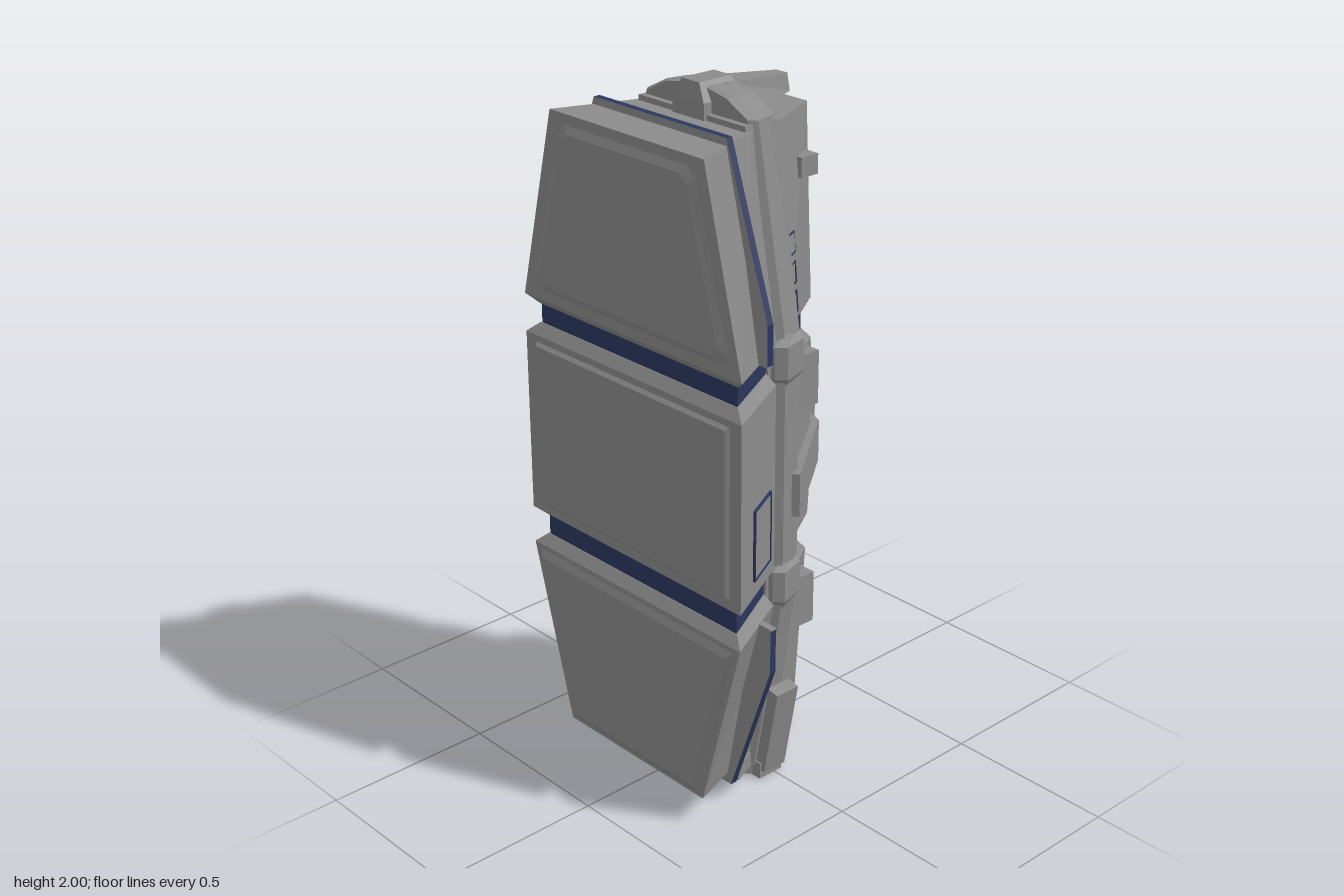
import * as THREE from 'three';

const mat = (name, color) => {
  const m = new THREE.MeshStandardMaterial({ color });
  m.name = name;
  return m;
};

export function createModel() {
  const grey = mat('hullGrey', 0x8b8b8b);
  const blue = mat('bandBlue', 0x2c365e);
  const black = mat('capBlack', 0x0e0e0e);
  const root = new THREE.Group();

  const add = (name, geo, m = grey, parent = root) => {
    const mesh = new THREE.Mesh(geo, m);
    mesh.name = name;
    parent.add(mesh);
    return mesh;
  };

  // Flat-faced solid through rings, each counter-clockwise seen from the end ring.
  // Geometry group 0 is the sides, group 1 the two caps.
  const loft = (rings) => {
    const out = [];
    const n = rings[0].length;
    for (let r = 0; r + 1 < rings.length; r++) {
      for (let i = 0; i < n; i++) {
        const j = (i + 1) % n;
        const [a, b, c, d] = [rings[r][i], rings[r][j], rings[r + 1][j], rings[r + 1][i]];
        out.push(...a, ...b, ...c, ...a, ...c, ...d);
      }
    }
    const sideCount = out.length / 3;
    const lo = rings[0], hi = rings[rings.length - 1];
    for (let i = 1; i < n - 1; i++) {
      out.push(...lo[0], ...lo[i + 1], ...lo[i], ...hi[0], ...hi[i], ...hi[i + 1]);
    }
    const g = new THREE.BufferGeometry();
    g.setAttribute('position', new THREE.Float32BufferAttribute(out, 3));
    g.addGroup(0, sideCount, 0);
    g.addGroup(sideCount, out.length / 3 - sideCount, 1);
    g.computeVertexNormals();
    return g;
  };
  // Symmetric plan at height y from [half width, z] points, front to back
  const plan = (y, pts) => [
    ...pts.map(([h, z]) => [h, y, z]),
    ...pts.slice().reverse().map(([h, z]) => [-h, y, z]),
  ];
  // Trapezoid plan: front depth and half width, back depth and half width
  const trap = (y, zf, hf, zb, hb) => plan(y, [[hf, zf], [hb, zb]]);
  // Symmetric outline in the xy plane from its right-hand points, bottom to top
  const outline = (pts, z, s = 0) => [
    ...pts.map(([x, y]) => [x - s, y, z]),
    ...pts.slice().reverse().map(([x, y]) => [-x + s, y, z]),
  ];
  const beam = (name, a, b, w, h) => {
    const from = new THREE.Vector3(...a), to = new THREE.Vector3(...b);
    const mesh = add(name, new THREE.BoxGeometry(w, h, from.distanceTo(to)));
    mesh.position.copy(from).lerp(to, 0.5);
    mesh.lookAt(to);
  };
  const box = (name, w, h, d, x, y, z) => {
    const mesh = add(name, new THREE.BoxGeometry(w, h, d));
    mesh.position.set(x, y, z);
    return mesh;
  };

  // Front hull sections, with chamfered ends facing the recessed bands
  add('upperFrontHull', loft([
    trap(1.34, 0.3, 0.39, 0.1, 0.285), trap(1.365, 0.322, 0.427, 0.085, 0.305),
    trap(1.905, 0.322, 0.292, 0.085, 0.205)]));
  add('middleFrontHull', loft([
    trap(0.7, 0.3, 0.39, 0.1, 0.285), trap(0.72, 0.322, 0.427, 0.085, 0.305),
    trap(1.255, 0.322, 0.427, 0.085, 0.305), trap(1.285, 0.3, 0.39, 0.1, 0.285)]));
  add('lowerFrontHull', loft([
    trap(0.085, 0.322, 0.28, 0.085, 0.2), trap(0.61, 0.322, 0.425, 0.085, 0.305),
    trap(0.64, 0.3, 0.39, 0.1, 0.285)]));

  // Rear hull sections
  add('upperRearHull', loft([
    trap(1.34, 0, 0.245, -0.185, 0.125), trap(1.37, 0, 0.258, -0.215, 0.128),
    trap(1.905, 0, 0.198, -0.215, 0.1)]));
  add('middleRearHull', loft([
    trap(0.7, 0, 0.245, -0.185, 0.125), trap(0.72, 0, 0.26, -0.215, 0.13),
    trap(0.78, 0, 0.26, -0.23, 0.12), trap(1.2, 0, 0.26, -0.23, 0.12),
    trap(1.255, 0, 0.26, -0.215, 0.13), trap(1.285, 0, 0.245, -0.185, 0.125)]));
  add('lowerRearHull', loft([
    trap(0.085, 0, 0.195, -0.208, 0.095), trap(0.61, 0, 0.258, -0.212, 0.128),
    trap(0.64, 0, 0.245, -0.185, 0.125)]));

  // Recessed bands between sections
  for (const y of [0.63, 1.275]) {
    add('frontBand', loft([trap(y, 0.298, 0.386, 0.1, 0.282), trap(y + 0.075, 0.298, 0.386, 0.1, 0.282)]), blue);
    add('rearBand', loft([trap(y, 0, 0.243, -0.183, 0.123), trap(y + 0.075, 0, 0.243, -0.183, 0.123)]), blue);
  }

  // Raised front panels with sloped rims
  add('upperFrontPanel', loft([
    outline([[0.355, 1.39], [0.385, 1.42], [0.27, 1.85], [0.24, 1.88]], 0.32),
    outline([[0.325, 1.415], [0.347, 1.44], [0.24, 1.83], [0.215, 1.855]], 0.332)]));
  const panel = (name, y0, h0, y1, h1, e) => add(name, loft([
    outline([[h0, y0], [h1, y1]], 0.32),
    outline([[h0 - e, y0 + e], [h1 - e, y1 - e]], 0.331)]));
  panel('middleFrontPanel', 0.745, 0.387, 1.238, 0.387, 0.012);
  panel('lowerFrontPanel', 0.088, 0.272, 0.6, 0.405, 0.026);

  // Central ring frame: core, raised rail and joint collars
  const ring = [[0.2, 0.045], [0.29, 0.62], [0.29, 1.36], [0.2, 1.92]];
  const rail = [[0.21, 0.04], [0.315, 0.62], [0.315, 1.36], [0.208, 1.93], [0.13, 1.97], [0.05, 1.985]];
  add('ringCore', loft([outline(ring, -0.012), outline(ring, 0.1)]));
  add('ringRail', loft([
    outline(rail, -0.012, 0.022), outline(rail, 0.005, 0.014), outline(rail, 0.062), outline(rail, 0.082, 0.018)]));
  for (const y of [0.665, 1.315]) {
    const collar = (dy, grow) => plan(y + dy, [
      [0.285 + grow, 0.07 + grow], [0.308 + grow, 0.055 + grow / 2], [0.285 + grow, -0.005 - grow / 2]]);
    add('jointCollar', loft([collar(-0.075, 0), collar(-0.045, 0.02), collar(0.045, 0.02), collar(0.075, 0)]));
  }

  // Thin belts around the front hull: coloured edge, plain faces and end
  const belt = (name, pts, z, endY) => {
    add(name, loft([outline(pts, z), outline(pts, z + 0.02)]), [blue, grey]);
    box(name + 'End', 0.8, 0.006, 0.021, 0, endY, z + 0.01);
  };
  belt('upperBelt', [[0.4, 1.37], [0.4, 1.48], [0.25, 1.925]], 0.19, 1.37);
  belt('lowerBelt', [[0.25, 0.055], [0.4, 0.48], [0.4, 0.61]], 0.168, 0.61);

  // Top crest and tapered ridge
  add('topCrest', loft([trap(1.9, 0.108, 0.06, -0.02, 0.06), trap(1.95, 0.108, 0.058, -0.02, 0.058),
    trap(1.998, 0.1, 0.033, -0.01, 0.033)]));
  const ridge = (z, base, top, y0, y1) => outline([[base, y0], [top, y1]], z);
  add('topRidge', loft([ridge(-0.222, 0.03, 0.02, 1.915, 1.962), ridge(0.02, 0.088, 0.05, 1.89, 1.985)]));

  // Rear yoke, mast and capped head
  for (const s of [-1, 1]) {
    beam('yokeArm', [s * 0.318, 0.922, 0.02], [s * 0.104, 0.922, -0.266], 0.022, 0.125);
    beam('yokeEnd', [s * 0.11, 0.922, -0.26], [s * 0.03, 0.922, -0.29], 0.022, 0.125);
  }
  add('mastHead', loft([trap(0.86, -0.255, 0.045, -0.325, 0.04), trap(0.99, -0.255, 0.045, -0.33, 0.04),
    trap(1.04, -0.265, 0.042, -0.33, 0.038)]));
  add('mastCap', loft([trap(1.03, -0.265, 0.056, -0.333, 0.042), trap(1.095, -0.262, 0.056, -0.298, 0.048)]), black);
  beam('mast', [0, 0.01, -0.23], [0, 0.9, -0.278], 0.06, 0.025);

  // Base: cross bar, keel, runners and side legs following the ring's taper
  box('baseBar', 0.46, 0.05, 0.085, 0, 0.028, 0.015);
  box('baseKeel', 0.14, 0.045, 0.39, 0, 0.025, -0.035);
  add('basePlate', loft([trap(0.045, 0.15, 0.24, -0.19, 0.1), trap(0.09, 0.17, 0.25, -0.2, 0.09)]));
  for (const s of [-1, 1]) {
    beam('baseRunner', [s * 0.21, 0.028, 0], [s * 0.02, 0.028, -0.222], 0.04, 0.05);
    beam('frontRunner', [s * 0.21, 0.028, 0.02], [s * 0.08, 0.028, 0.15], 0.04, 0.045);
    box('sideLeg', 0.04, 0.28, 0.08, s * 0.247, 0.168, 0.012).rotation.z = -s * 0.18;
  }

  // Side equipment boxes on the rear hull
  for (const s of [-1, 1]) {
    box('upperSideBox', 0.09, 0.155, 0.085, s * 0.155, 1.17, -0.135);
    add('lowerSideBox', loft([
      trap(0.42, -0.06, 0.045, -0.175, 0.045), trap(0.575, -0.09, 0.045, -0.175, 0.045)])).position.x = s * 0.155;
  }
  box('ventBox', 0.09, 0.055, 0.06, 0.125, 1.757, -0.16);

  // Outlined plates laid on the hull sides
  const framed = (name, pos, normal, w, h) => {
    const g = new THREE.Group();
    g.name = name;
    root.add(g);
    g.position.copy(pos);
    g.lookAt(pos.clone().add(normal));
    add('plate', new THREE.BoxGeometry(w, h, 0.008), grey, g);
    for (const s of [-1, 1]) {
      add('upright', new THREE.BoxGeometry(0.005, h, 0.013), blue, g).position.x = s * w / 2;
      add('crossbar', new THREE.BoxGeometry(w + 0.005, 0.005, 0.013), blue, g).position.y = s * h / 2;
    }
  };
  // Point on the side of the upper rear hull
  const side = (s, y, z) => {
    const v = (y - 1.37) / 0.535, u = -z / 0.215, L = THREE.MathUtils.lerp;
    return new THREE.Vector3(s * L(L(0.258, 0.128, u), L(0.198, 0.1, u), v), y, z);
  };
  const window = (s, y, z) => {
    const p = side(s, y, z);
    const dy = side(s, y + 0.01, z).sub(p), dz = side(s, y, z - 0.01).sub(p);
    framed('sideWindow', p, dz.cross(dy).multiplyScalar(s).normalize(), 0.055, 0.055);
  };
  for (let i = 0; i < 3; i++) {
    const y = 1.417 + i * 0.08;
    window(1, y, -0.055);
    window(-1, y, -0.055);
    window(-1, y + 0.12, -0.14);
  }
  for (const s of [-1, 1]) {
    framed('sideHatch', new THREE.Vector3(s * 0.354, 0.872, 0.18),
      new THREE.Vector3(s * 0.89, 0, -0.457), 0.125, 0.2);
  }

  return root;
}
